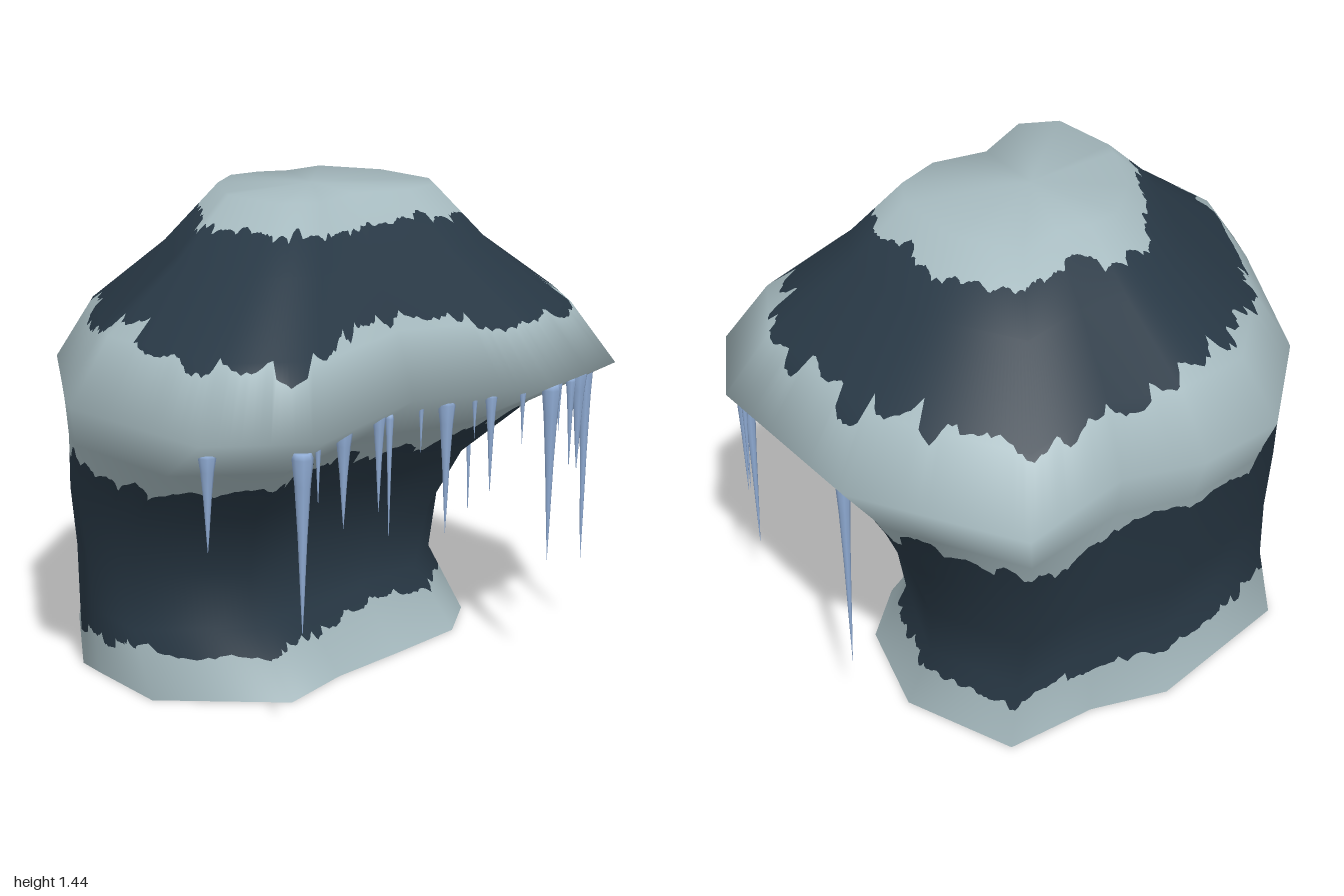
import * as THREE from 'three';

// Outline of the widest ring as [x, z], walked clockwise seen from above
const OUTLINE = [
  [-0.02, -0.82], [0.27, -0.77], [0.48, -0.63], [0.87, -0.61], [1, -0.06], [0.82, 0.55], [0.58, 0.78],
  [0.18, 0.81], [-0.22, 0.6], [-0.76, 0.7], [-1, 0.47], [-0.89, -0.1], [-0.8, -0.21], [-0.41, -0.62],
];
// Outline of the foot, corner for corner
const FOOT = [
  [-0.02, -0.67], [0.25, -0.655], [0.455, -0.52], [0.735, -0.435], [0.76, -0.06], [0.57, 0.235], [0.365, 0.342],
  [0.08, 0.335], [-0.2, 0.322], [-0.46, 0.35], [-0.7, 0.017], [-0.62, -0.27], [-0.59, -0.365], [-0.275, -0.685],
];
// Each ring: height, x min, x max, z min, z max; the last ring closes the top
const RINGS = [
  [0, -0.7, 0.76, -0.68, 0.35],
  [0.2, -0.7, 0.72, -0.63, 0.22],
  [0.38, -0.72, 0.75, -0.66, 0.24],
  [0.57, -0.78, 0.82, -0.71, 0.33],
  [0.75, -0.87, 0.9, -0.76, 0.54],
  [0.895, -1, 1, -0.82, 0.81],
  [1.08, -0.84, 0.86, -0.7, 0.69],
  [1.26, -0.55, 0.6, -0.46, 0.48],
  [1.435, -0.34, 0.43, -0.29, 0.33],
  [1.44, 0.045, 0.045, 0.02, 0.02],
];
const SIDES = OUTLINE.length;

// Icicles: x, z, top, tip, radius
const ICICLES = [
  [-0.91, 0.42, 0.85, 0.57, 0.025], [-0.74, 0.61, 0.85, 0.33, 0.03], [-0.66, 0.6, 0.88, 0.68, 0.011],
  [-0.52, 0.58, 0.87, 0.58, 0.026], [-0.33, 0.56, 0.88, 0.58, 0.02], [-0.28, 0.56, 0.86, 0.48, 0.012],
  [-0.14, 0.57, 0.88, 0.72, 0.01], [-0.07, 0.61, 0.87, 0.47, 0.026], [0, 0.66, 0.88, 0.75, 0.01],
  [0.04, 0.69, 0.88, 0.58, 0.018], [0.13, 0.74, 0.88, 0.72, 0.01], [0.22, 0.78, 0.89, 0.35, 0.028],
  [0.28, 0.77, 0.89, 0.73, 0.01], [0.36, 0.76, 0.88, 0.6, 0.015], [0.42, 0.75, 0.89, 0.58, 0.026],
  [0.64, 0.64, 0.87, 0.21, 0.024], [0.72, 0.58, 0.88, 0.58, 0.01], [0.74, 0.57, 0.88, 0.5, 0.018],
  [0.76, 0.54, 0.87, 0.52, 0.01], [0.9, 0.03, 0.855, 0.2, 0.022],
];

function seeded(seed) {
  return () => {
    seed = (seed * 16807) % 2147483647;
    return seed / 2147483647;
  };
}

// Rescale an outline so that both axes run from 0 to 1
function normalized(outline) {
  const [xs, zs] = [0, 1].map(axis => outline.map(p => p[axis]));
  const unit = (v, list) => (v - Math.min(...list)) / (Math.max(...list) - Math.min(...list));
  return outline.map(([x, z]) => [unit(x, xs), unit(z, zs)]);
}

// Coarse body cage, giving corner positions and smooth normals
function makeCage() {
  const pos = [], index = [];
  const foot = normalized(FOOT), rim = normalized(OUTLINE);
  for (const [y, x0, x1, z0, z1] of RINGS) {
    // The foot shape turns into the rim shape between waist and rim
    const blend = THREE.MathUtils.clamp((y - 0.2) / 0.695, 0, 1);
    for (let i = 0; i < SIDES; i++) {
      const [x, z] = [0, 1].map(axis => THREE.MathUtils.lerp(foot[i][axis], rim[i][axis], blend));
      pos.push(x0 + x * (x1 - x0), y, z0 + z * (z1 - z0));
    }
  }
  for (let r = 0; r < RINGS.length - 1; r++) {
    for (let i = 0; i < SIDES; i++) {
      const a = r * SIDES + i, b = r * SIDES + (i + 1) % SIDES;
      index.push(a, a + SIDES, b + SIDES, a, b + SIDES, b);
    }
  }
  const cage = new THREE.BufferGeometry();
  cage.setAttribute('position', new THREE.Float32BufferAttribute(pos, 3));
  cage.setIndex(index);
  cage.computeVertexNormals();
  return cage;
}

// Blend a cage attribute at outline position u (side + fraction) and height y
function sample(attribute, u, y) {
  let r = 0;
  while (r < RINGS.length - 2 && y > RINGS[r + 1][0]) r++;
  const t = (y - RINGS[r][0]) / (RINGS[r + 1][0] - RINGS[r][0]);
  const i = Math.floor(u) % SIDES, j = (i + 1) % SIDES, f = u - Math.floor(u);
  const at = (ring, k) => new THREE.Vector3().fromBufferAttribute(attribute, ring * SIDES + k);
  return at(r, i).lerp(at(r, j), f).lerp(at(r + 1, i).lerp(at(r + 1, j), f), t);
}

// Ragged border made of scallops of random width and depth
function raggedBorder(count, base, amplitude, direction, seed) {
  const random = seeded(seed), heights = [];
  while (heights.length < count) {
    const width = 4 + Math.floor(random() * 11);
    const shift = (random() - 0.5) * amplitude * 1.2, depth = (0.2 + 0.6 * random()) * amplitude;
    for (let k = 0; k < width; k++) {
      const bump = Math.sin((Math.PI * (k + 0.5)) / width) - 0.6;
      const wave = 0.4 * amplitude * Math.sin((heights.length / count) * Math.PI * 10 + seed);
      const grain = (random() - 0.5) * amplitude * 0.25;
      heights.push(base + shift + wave + grain + direction * depth * bump);
    }
  }
  return heights.slice(0, count);
}

// One colour band of the body between two borders
function makeBand(cage, columns, low, high) {
  const pos = [], normal = [], index = [];
  const rows = RINGS.length + 2, count = columns.length;
  const heights = columns.map((u, c) =>
    [low[c], ...RINGS.map(([y]) => THREE.MathUtils.clamp(y, low[c], high[c])), high[c]]);
  columns.forEach((u, c) => {
    for (const y of heights[c]) {
      pos.push(...sample(cage.attributes.position, u, y));
      normal.push(...sample(cage.attributes.normal, u, y).normalize());
    }
  });
  for (let c = 0; c < count; c++) {
    const d = (c + 1) % count;
    for (let r = 0; r < rows - 1; r++) {
      const a = c * rows + r, b = d * rows + r;
      if (heights[c][r + 1] > heights[c][r]) index.push(a, a + 1, b + 1);
      if (heights[d][r + 1] > heights[d][r]) index.push(a, b + 1, b);
    }
  }
  const geometry = new THREE.BufferGeometry();
  geometry.setAttribute('position', new THREE.Float32BufferAttribute(pos, 3));
  geometry.setAttribute('normal', new THREE.Float32BufferAttribute(normal, 3));
  geometry.setIndex(index);
  return geometry;
}

// Tapering icicle with a rounded root and a needle tip
function makeIcicle(length, radius) {
  const profile = [[0, -1], [0.18, -0.8], [0.45, -0.45], [0.75, -0.17], [1, -0.03], [0.8, 0], [0, 0]];
  return new THREE.LatheGeometry(profile.map(([r, y]) => new THREE.Vector2(r * radius, y * length)), 8);
}

export function createModel() {
  const group = new THREE.Group();
  const material = (name, color, side = THREE.FrontSide) => {
    const m = new THREE.MeshStandardMaterial({ color, side });
    m.name = name;
    return m;
  };
  const frost = material('pale frost', 0xa6babf, THREE.DoubleSide);
  const rock = material('dark slate', 0x283845, THREE.DoubleSide);
  const ice = material('blue ice', 0x8fabd3);

  // Body columns, spaced evenly along the outline
  const columns = [];
  OUTLINE.forEach(([x, z], i) => {
    const [nx, nz] = OUTLINE[(i + 1) % SIDES];
    const steps = Math.ceil(Math.hypot(nx - x, nz - z) / 0.016);
    for (let k = 0; k < steps; k++) columns.push(i + k / steps);
  });
  const n = columns.length;
  const borders = [
    new Array(n).fill(0),
    raggedBorder(n, 0.13, 0.03, -1, 11),
    raggedBorder(n, 0.69, 0.045, 1, 57),
    raggedBorder(n, 1.08, 0.055, -1, 203),
    raggedBorder(n, 1.355, 0.025, 1, 419),
    new Array(n).fill(RINGS[RINGS.length - 1][0]),
  ];
  const cage = makeCage();
  const names = ['frostBase', 'rockTrunk', 'frostOverhang', 'rockShoulder', 'frostCap'];
  names.forEach((name, i) => {
    const mesh = new THREE.Mesh(makeBand(cage, columns, borders[i], borders[i + 1]), i % 2 ? rock : frost);
    mesh.name = name;
    group.add(mesh);
  });

  // Icicles hanging under the front rim
  const icicles = new THREE.Group();
  icicles.name = 'icicles';
  for (const [x, z, top, tip, radius] of ICICLES) {
    const mesh = new THREE.Mesh(makeIcicle(top - tip, radius), ice);
    mesh.name = 'icicle';
    mesh.position.set(x, top, z);
    icicles.add(mesh);
  }
  group.add(icicles);
  return group;
}
